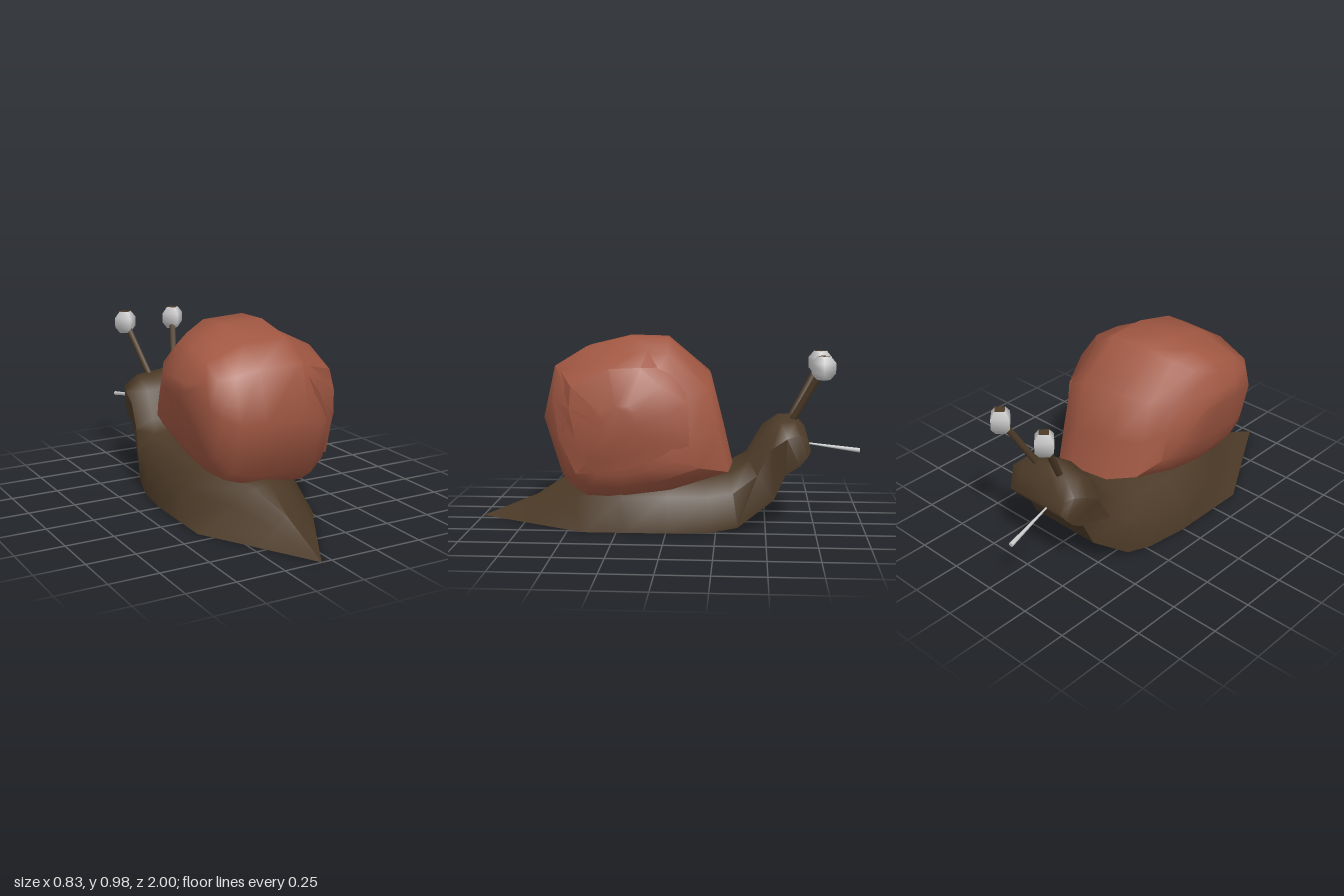
import * as THREE from 'three';
import { toCreasedNormals } from 'three/addons/utils/BufferGeometryUtils.js';

const AXIS = -0.055; // x of the body's plane of symmetry
const { lerp } = THREE.MathUtils;
const v3 = (x, y, z) => new THREE.Vector3(x, y, z);

// Closed skin over equal-length rings of points, with a fan cap at both ends
function loft(rings, crease) {
  const n = rings[0].length;
  const tris = [];
  for (let i = 0; i < rings.length - 1; i++) {
    for (let j = 0; j < n; j++) {
      const k = (j + 1) % n;
      const [a, b, c, d] = [rings[i][j], rings[i][k], rings[i + 1][k], rings[i + 1][j]];
      tris.push([a, b, c], [a, c, d]);
    }
  }
  const last = rings[rings.length - 1];
  for (let j = 1; j < n - 1; j++) {
    tris.push([rings[0][0], rings[0][j + 1], rings[0][j]], [last[0], last[j], last[j + 1]]);
  }
  // Turn the faces outward if the enclosed volume comes out negative
  const cross = v3(0, 0, 0);
  const volume = tris.reduce((s, [a, b, c]) => s + a.dot(cross.crossVectors(b, c)), 0);
  const solid = tris.filter(([a, b, c]) =>
    cross.crossVectors(b.clone().sub(a), c.clone().sub(a)).length() > 1e-9);
  const pts = solid.flatMap(([a, b, c]) => (volume < 0 ? [a, c, b] : [a, b, c]));
  return toCreasedNormals(new THREE.BufferGeometry().setFromPoints(pts), crease);
}

// Tapered round rod between two points
function rod(from, to, r0, r1, sides) {
  const dir = to.clone().sub(from);
  const geo = new THREE.CylinderGeometry(r1, r0, dir.length(), sides);
  geo.applyQuaternion(new THREE.Quaternion().setFromUnitVectors(v3(0, 1, 0), dir.normalize()));
  const mid = from.clone().add(to).multiplyScalar(0.5);
  return geo.translate(mid.x, mid.y, mid.z);
}

export function createModel() {
  const group = new THREE.Group();
  group.name = 'snail';
  const skin = new THREE.MeshStandardMaterial({ color: 0x4c3a27 });
  const shellMat = new THREE.MeshStandardMaterial({ color: 0xa05742 });
  const grey = new THREE.MeshStandardMaterial({ color: 0xcccccc });
  const add = (name, geo, mat, parent = group) => {
    const mesh = new THREE.Mesh(geo, mat);
    mesh.name = name;
    parent.add(mesh);
    return mesh;
  };

  // Body: slanted sections from tail to head
  // [bottom z, bottom y, top z, top y, half width, width of the sole, sharpness of the ridge]
  const sections = [
    [1.0, 0, 1.0, 0, 0, 1, 1],
    [0.7, 0, 0.7, 0.125, 0.17, 1, 1],
    [0.42, 0, 0.53, 0.24, 0.33, 1, 0.75],
    [0.2, 0, 0.25, 0.29, 0.33, 1, 0],
    [0, 0, 0, 0.3, 0.33, 1, 0],
    [-0.22, 0, -0.2, 0.3, 0.325, 0.93, 0],
    [-0.36, 0.02, -0.32, 0.32, 0.315, 0.85, 0],
    [-0.54, 0.15, -0.4, 0.37, 0.262, 0.78, 0],
    [-0.6, 0.28, -0.48, 0.51, 0.255, 0.77, 0],
    [-0.67, 0.325, -0.56, 0.565, 0.255, 0.78, 0],
    [-0.71, 0.37, -0.64, 0.565, 0.23, 0.82, 0],
    [-0.727, 0.4, -0.7, 0.5, 0.19, 0.9, 0],
  ];
  const half = [[1, 0], [0.92, 0.6], [0.62, 0.9]];
  const arch = [...half, [0, 1], ...half.map(([u, v]) => [-u, v]).reverse()];
  const bodyRings = sections.map(([zb, yb, zt, yt, w, sole, sharp]) =>
    arch.map(([u, v]) => {
      const width = lerp(u, Math.sign(u) * (1 - v), sharp);
      return v3(AXIS + width * w * (v === 0 ? sole : 1), lerp(yb, yt, v), lerp(zb, zt, v));
    }));
  add('body', loft(bodyRings, 1.0), skin);

  // Shell: one side outline (z, y), fitted to a box at each step across x
  const outline = [
    [0.64, 0.55], [0.58, 0.82], [0.42, 0.92], [0.2, 0.975], [0, 0.97], [-0.22, 0.78],
    [-0.28, 0.54], [-0.33, 0.32], [0, 0.21], [0.22, 0.17], [0.45, 0.18], [0.55, 0.25],
  ].map(([z, y]) => [(z + 0.33) / 0.97, (y - 0.17) / 0.805]);
  // [x, z min, z max, y min, y max]
  const slices = [
    [-0.417, 0.12, 0.36, 0.66, 0.75],
    [-0.37, -0.03, 0.52, 0.47, 0.825],
    [-0.33, -0.12, 0.565, 0.36, 0.88],
    [-0.25, -0.22, 0.6, 0.25, 0.917],
    [-0.13, -0.31, 0.63, 0.21, 0.966],
    [0.1, -0.33, 0.635, 0.19, 0.975],
    [0.21, -0.31, 0.58, 0.17, 0.9],
    [0.31, -0.17, 0.51, 0.235, 0.81],
    [0.36, -0.05, 0.42, 0.31, 0.74],
  ];
  const shellRings = slices.map(([x, z0, z1, y0, y1]) =>
    outline.map(([u, v]) => v3(x, lerp(y0, y1, v), lerp(z0, z1, u))));
  add('shell', loft(shellRings, 0.9), shellMat);

  // Inner whorl: faceted lobe on the left side of the shell
  const rim = [
    [0.1, 0.945, 0.3], [0.09, 0.82, 0.565], [0.2, 0.67, 0.575], [0.3, 0.48, 0.53],
    [0.335, 0.31, 0.44], [0.39, 0.345, 0.18], [0.335, 0.46, -0.12],
    [0.315, 0.66, -0.115], [0.2, 0.83, -0.06], [0.11, 0.955, 0.08],
  ].map((p) => v3(...p));
  // The rim scaled by s about the whorl's centre and moved towards x by t
  const ring = (x, s, t) => rim.map((p) =>
    v3(lerp(p.x, x, t), lerp(0.56, p.y, s), lerp(0.21, p.z, s)));
  const whorl = [ring(0, 0.92, 0.4), rim, ring(0.4, 0.71, 0.78), ring(0.417, 0.26, 1)];
  add('shellWhorl', loft(whorl, 0.7), shellMat);

  // Eye stalks with blocky eyes, mirrored about the body's axis
  for (const side of [-1, 1]) {
    const stalk = new THREE.Group();
    stalk.name = side > 0 ? 'leftEyeStalk' : 'rightEyeStalk';
    group.add(stalk);
    const tip = v3(AXIS + side * 0.147, 0.82, -0.783);
    add('stalk', rod(v3(AXIS + side * 0.075, 0.53, -0.625), tip, 0.018, 0.018, 8), skin, stalk);
    const profile = [[0.034, -0.06], [0.062, -0.026], [0.062, 0.026], [0.034, 0.06]]
      .map(([r, y]) => new THREE.Vector2(r, y));
    add('eye', new THREE.LatheGeometry(profile, 4), grey, stalk).position.copy(tip);
    const cap = new THREE.CylinderGeometry(0.034, 0.034, 0.12, 4);
    add('eyeCap', cap, skin, stalk).position.copy(tip);
  }

  // Thin rod reaching out of the mouth, wider at its far end
  add('mouthRod', rod(v3(-0.128, 0.402, -0.7), v3(-0.178, 0.355, -0.998), 0.004, 0.012, 8), grey);

  return group;
}
